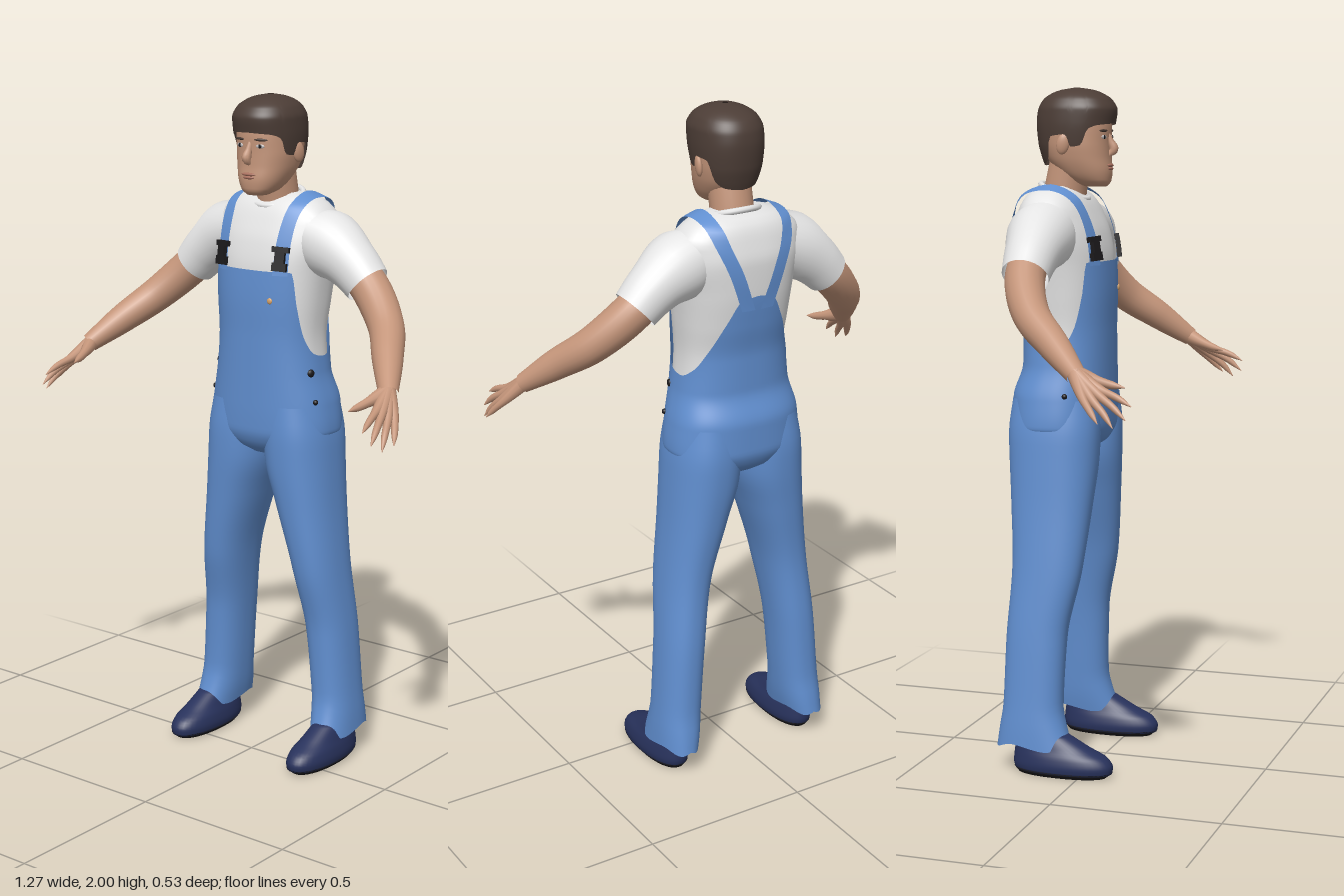
import * as THREE from 'three';

const mat = (name, color, side = THREE.FrontSide) => {
  const m = new THREE.MeshStandardMaterial({ color, side });
  m.name = name;
  return m;
};
const rad = THREE.MathUtils.degToRad;

// Rows are [y, xMin, xMax, zFront, zBack]; sym() makes them from [y, halfWidth, zFront, zBack].
const sym = rows => rows.map(([y, r, f, b]) => [y, -r, r, f, b]);
const mirror = rows => rows.map(([y, a, b, f, k]) => [y, -b, -a, f, k]);

// Smooth interpolation of a table without overshoot; column 0 is the parameter.
function at(rows, y) {
  const n = rows.length;
  y = THREE.MathUtils.clamp(y, rows[0][0], rows[n - 1][0]);
  let i = 0;
  while (i < n - 2 && y > rows[i + 1][0]) i++;
  const h = rows[i + 1][0] - rows[i][0], t = (y - rows[i][0]) / h;
  return rows[i].slice(1).map((p, c) => {
    const sec = k => (rows[k + 1][c + 1] - rows[k][c + 1]) / (rows[k + 1][0] - rows[k][0]);
    const slope = k => {
      if (k === 0) return sec(0);
      if (k === n - 1) return sec(n - 2);
      const a = sec(k - 1), b = sec(k);
      return a * b <= 0 ? 0 : 2 * a * b / (a + b);
    };
    const q = rows[i + 1][c + 1], t2 = t * t, t3 = t2 * t;
    return p * (2 * t3 - 3 * t2 + 1) + q * (3 * t2 - 2 * t3)
      + h * (slope(i) * (t3 - 2 * t2 + t) + slope(i + 1) * (t3 - t2));
  });
}

// Body surface from stacked superellipses; lo and hi are heights by angle (0 = front, 180 = back).
function shell(rows, { lo, hi, n = 2.4, off = 0, cols = 64, steps = 40, cap = false }) {
  const pos = [], idx = [], pw = v => Math.sign(v) * Math.abs(v) ** (2 / n);
  const end = f => typeof f === 'function' ? f : () => f;
  const low = end(lo ?? rows[0][0]), high = end(hi ?? rows[rows.length - 1][0]);
  for (let j = 0; j <= steps; j++) for (let i = 0; i < cols; i++) {
    const a = i / cols * Math.PI * 2, deg = Math.min(i, cols - i) / cols * 360;
    const y = THREE.MathUtils.lerp(low(deg), high(deg), j / steps);
    const [x0, x1, f, b] = at(rows, y);
    pos.push((x0 + x1) / 2 + ((x1 - x0) / 2 + off) * pw(Math.sin(a)), y,
      (f + b) / 2 + ((f - b) / 2 + off) * pw(Math.cos(a)));
    if (j < steps) {
      const k = j * cols + i, r = j * cols + (i + 1) % cols;
      idx.push(k, r, k + cols, r, r + cols, k + cols);
    }
  }
  if (cap) for (const [j, y] of [[0, low(0)], [steps, high(0)]]) {
    const [x0, x1, f, b] = at(rows, y), c = pos.length / 3;
    pos.push((x0 + x1) / 2, y, (f + b) / 2);
    for (let i = 0; i < cols; i++) {
      const k = j * cols + i, r = j * cols + (i + 1) % cols;
      j ? idx.push(k, r, c) : idx.push(r, k, c);
    }
  }
  const g = new THREE.BufferGeometry();
  g.setAttribute('position', new THREE.Float32BufferAttribute(pos, 3));
  g.setIndex(idx);
  g.computeVertexNormals();
  return g;
}

// Tube through points with a radius at each, evenly spread along its length.
function limb(points, radii, sides = 14, steps = 24) {
  const curve = new THREE.CatmullRomCurve3(points.map(p => new THREE.Vector3(...p)));
  const g = new THREE.TubeGeometry(curve, steps, 1, sides), p = g.attributes.position;
  const v = new THREE.Vector3(), table = radii.map((r, i) => [i / (radii.length - 1), r]);
  for (let i = 0; i < p.count; i++) {
    const t = Math.floor(i / (sides + 1)) / steps, c = curve.getPointAt(t);
    v.fromBufferAttribute(p, i).sub(c).multiplyScalar(at(table, t)[0]).add(c);
    p.setXYZ(i, v.x, v.y, v.z);
  }
  return g;
}

// Depth of a stacked surface at x, y on its front (side 1) or back (side -1).
function surfZ(rows, x, y, side, n = 2.4) {
  const [x0, x1, f, b] = at(rows, y);
  const u = Math.min(1, Math.abs(x - (x0 + x1) / 2) / ((x1 - x0) / 2));
  return (f + b) / 2 + side * (f - b) / 2 * (1 - u ** n) ** (1 / n);
}

const TORSO = sym([[0.94, 0.06, -0.05, -0.2], [0.97, 0.15, -0.01, -0.24], [1.02, 0.2, 0.008, -0.258],
  [1.1, 0.192, 0.01, -0.258], [1.2, 0.17, 0.01, -0.23], [1.3, 0.162, 0.01, -0.23], [1.4, 0.17, 0.012, -0.245],
  [1.5, 0.182, 0.008, -0.256], [1.58, 0.197, -0.008, -0.258], [1.64, 0.197, -0.033, -0.245],
  [1.68, 0.165, -0.055, -0.23], [1.705, 0.125, -0.08, -0.205], [1.716, 0.08, -0.1, -0.18]]);
const LEG = [[0.07, 0.166, 0.286, -0.028, -0.262], [0.13, 0.155, 0.283, -0.05, -0.255],
  [0.2, 0.148, 0.277, -0.065, -0.245], [0.4, 0.13, 0.262, -0.058, -0.24], [0.6, 0.1, 0.242, -0.02, -0.23],
  [0.8, 0.042, 0.222, 0, -0.245], [0.93, 0.004, 0.213, 0.01, -0.257], [1.0, 0, 0.208, 0.012, -0.26],
  [1.1, 0, 0.19, 0.005, -0.25]];
const SHOE = [[0.012, 0.165, 0.287, 0.092, -0.205], [0.03, 0.162, 0.29, 0.095, -0.21],
  [0.055, 0.166, 0.286, 0.08, -0.208], [0.08, 0.175, 0.277, 0.03, -0.205], [0.12, 0.185, 0.267, -0.045, -0.2]];
const SOLE = [[0, 0.175, 0.277, 0.075, -0.195], [0.016, 0.163, 0.289, 0.094, -0.208]];
const HEAD = sym([[1.715, 0.03, 0, -0.06], [1.728, 0.05, 0.012, -0.1], [1.76, 0.07, 0.016, -0.145],
  [1.8, 0.083, 0.012, -0.175], [1.84, 0.089, 0.011, -0.188], [1.88, 0.09, 0.012, -0.195],
  [1.92, 0.09, 0.008, -0.19], [1.96, 0.07, -0.02, -0.165], [1.985, 0.03, -0.06, -0.12]]);
const HAIR = sym([[1.77, 0.07, -0.02, -0.182], [1.8, 0.085, 0, -0.192], [1.84, 0.095, 0.012, -0.202],
  [1.9, 0.1, 0.025, -0.207], [1.935, 0.099, 0.03, -0.203], [1.965, 0.086, 0.015, -0.188],
  [1.985, 0.062, -0.015, -0.16], [1.995, 0.036, -0.045, -0.13], [2.0, 0.008, -0.08, -0.098]]);
const BIB_EDGE = [[0, 1.5], [41, 1.5], [44, 1.485], [52, 1.4], [66, 1.3], [80, 1.255], [95, 1.245],
  [115, 1.27], [135, 1.33], [155, 1.42], [168, 1.48], [180, 1.49]];
const HAIRLINE = [[0, 1.897], [40, 1.892], [58, 1.88], [66, 1.835], [82, 1.83], [90, 1.865], [112, 1.86],
  [124, 1.8], [140, 1.782], [180, 1.775]];

// Strap draped over the shoulder: three rails projected onto the torso.
function strap(s) {
  const path = [[0.105, 1.49, 1], [0.108, 1.58, 1], [0.113, 1.65, 1], [0.118, 1.685, 1], [0.12, 0, 0],
    [0.118, 1.685, -1], [0.102, 1.63, -1], [0.07, 1.56, -1], [0.03, 1.45, -1]];
  const n = 40, pos = [], idx = [];
  for (const w of [-0.021, 0, 0.021]) {
    const rail = new THREE.CatmullRomCurve3(path.map(([x, y, side]) => side
      ? new THREE.Vector3(s * (x + w), y + (y > 1.6 ? 0.006 : 0), surfZ(TORSO, x + w, y, side) + side * 0.012)
      : new THREE.Vector3(s * (x + w), 1.722 - 0.4 * (x + w - 0.1), -0.135)));
    for (let i = 0; i <= n; i++) pos.push(...rail.getPoint(i / n).toArray());
  }
  for (let r = 0; r < 2; r++) for (let i = 0; i < n; i++) {
    const a = r * (n + 1) + i, b = a + n + 1;
    if (s > 0) idx.push(a, b, a + 1, b, b + 1, a + 1);
    else idx.push(a, a + 1, b, b, a + 1, b + 1);
  }
  const g = new THREE.BufferGeometry();
  g.setAttribute('position', new THREE.Float32BufferAttribute(pos, 3));
  g.setIndex(idx);
  g.computeVertexNormals();
  return g;
}

export function createModel() {
  const root = new THREE.Group();
  root.name = 'worker';
  const skin = mat('skin', 0xc4957a), hairM = mat('hair', 0x4c3d36, THREE.DoubleSide);
  const cotton = mat('white cotton', 0xe4e4e4, THREE.DoubleSide), denim = mat('denim', 0x618fd0, THREE.DoubleSide);
  const navy = mat('navy shoe', 0x28325c), black = mat('black', 0x1c1a1c);
  const brass = mat('brass', 0xd9a56c), white = mat('eye white', 0xc9c4c4), lip = mat('lips', 0xa8705f);
  const add = (name, geo, m, p = [0, 0, 0], scale = [1, 1, 1], rot = [0, 0, 0]) => {
    const mesh = new THREE.Mesh(geo, m);
    mesh.name = name;
    mesh.position.set(...p);
    mesh.scale.set(...scale);
    mesh.rotation.set(...rot);
    root.add(mesh);
    return mesh;
  };
  const ball = new THREE.SphereGeometry(1, 16, 12);

  // Shirt body and overalls
  add('shirt', shell(TORSO, { lo: 1.15, cap: true }), cotton);
  add('overallsBody', shell(TORSO, { hi: d => at(BIB_EDGE, d)[0], off: 0.008, cols: 120, steps: 50 }), denim);
  add('shirtCollar', new THREE.TorusGeometry(0.072, 0.009, 8, 32), cotton,
    [0, 1.7, -0.128], [1.05, 1, 1], [rad(-72 + 180), 0, 0]);

  // Neck, head and hair
  add('neck', limb([[0, 1.64, -0.135], [0, 1.72, -0.122], [0, 1.82, -0.1]], [0.07, 0.062, 0.062], 24), skin);
  add('head', shell(HEAD, { n: 2.3, cap: true }), skin);
  add('hair', shell(HAIR, { lo: d => at(HAIRLINE, d)[0], n: 2.2, cols: 96 }), hairM);
  add('nose', limb([[0, 1.87, 0.004], [0, 1.845, 0.014], [0, 1.822, 0.024], [0, 1.806, 0.01]],
    [0.007, 0.01, 0.014, 0.006], 10, 12), skin);
  add('upperLip', ball, lip, [0, 1.776, 0.014], [0.025, 0.005, 0.006]);
  add('lowerLip', ball, lip, [0, 1.767, 0.014], [0.02, 0.005, 0.006]);
  add('bibButton', ball, brass, [0.077, 1.415, surfZ(TORSO, 0.077, 1.415, 1) + 0.01], [0.009, 0.009, 0.004]);

  for (const s of [1, -1]) {
    const side = s > 0 ? 'left' : 'right', P = pts => pts.map(([x, y, z]) => [s * x, y, z]);
    const faceZ = (x, y) => surfZ(HEAD, x, y, 1, 2.3);

    // Face details
    add(side + 'Eye', ball, white, [s * 0.036, 1.858, faceZ(0.036, 1.858)], [0.014, 0.006, 0.003], [0, s * 0.2, 0]);
    add(side + 'Pupil', ball, black, [s * 0.036, 1.858, faceZ(0.036, 1.858) + 0.002], [0.006, 0.006, 0.002]);
    add(side + 'Brow', ball, hairM, [s * 0.038, 1.876, faceZ(0.038, 1.876)], [0.021, 0.004, 0.004], [0, s * 0.25, 0]);
    add(side + 'Ear', ball, skin, [s * 0.093, 1.838, -0.1], [0.01, 0.031, 0.019], [0.2, s * -0.3, 0]);

    // Sleeve and arm
    add(side + 'Sleeve', limb(P([[0.1, 1.6, -0.13], [0.2, 1.565, -0.135], [0.27, 1.518, -0.135], [0.32, 1.47, -0.133]]),
      [0.07, 0.1, 0.08, 0.068], 28), cotton);
    add(side + 'Arm', limb(P([[0.25, 1.535, -0.135], [0.33, 1.463, -0.13], [0.425, 1.37, -0.075],
      [0.49, 1.3, 0.01], [0.555, 1.225, 0.1]]), [0.058, 0.057, 0.052, 0.044, 0.028], 20, 32), skin);

    // Hand: each digit runs from the wrist through its knuckle to the tip
    const digits = {
      Index: [[0.565, 1.19, 0.17], [0.577, 1.172, 0.222], [0.585, 1.15, 0.265]],
      Middle: [[0.58, 1.178, 0.17], [0.597, 1.148, 0.218], [0.607, 1.115, 0.256]],
      Ring: [[0.592, 1.168, 0.155], [0.61, 1.132, 0.195], [0.622, 1.095, 0.225]],
      Little: [[0.6, 1.168, 0.135], [0.62, 1.137, 0.162], [0.635, 1.107, 0.187]],
    };
    for (const [name, pts] of Object.entries(digits))
      add(side + name + 'Finger', limb(P([[0.55, 1.232, 0.093], ...pts]),
        [0.022, 0.019, 0.015, 0.011, 0.009, 0.001], 10, 20), skin);
    add(side + 'Thumb', limb(P([[0.55, 1.23, 0.095], [0.532, 1.212, 0.14], [0.517, 1.198, 0.185], [0.506, 1.19, 0.222]]),
      [0.024, 0.02, 0.014, 0.011, 0.001], 10, 20), skin);

    // Trouser leg with a wavy hem, and shoe
    const place = rows => s > 0 ? rows : mirror(rows);
    add(side + 'TrouserLeg', shell(place(LEG), { lo: d => 0.083 + 0.008 * Math.sin(rad(d * 4)), n: 2.3 }), denim);
    add(side + 'Shoe', shell(place(SHOE), { n: 2.2, cap: true, cols: 40, steps: 16 }), navy);
    add(side + 'Sole', shell(place(SOLE), { n: 2.2, cap: true, cols: 40, steps: 2 }), black);

    // Strap, buckle and hip buttons
    add(side + 'Strap', strap(s), denim);
    for (const [y, w, h] of [[1.566, 0.052, 0.016], [1.542, 0.03, 0.036], [1.516, 0.044, 0.024]])
      add(side + 'Buckle', new THREE.BoxGeometry(w, h, 0.014), black,
        [s * 0.106, y, surfZ(TORSO, 0.106, y, 1) + 0.016], [1, 1, 1], [-0.15, s * 0.3, 0]);
    for (const [y, r, x] of [[1.2, 0.012, 0.17], [1.115, 0.008, 0.188]])
      add(side + 'HipButton', ball, black, [s * x, y, -0.064], [0.008, r, r], [0, s * -0.3, 0]);
  }
  return root;
}
